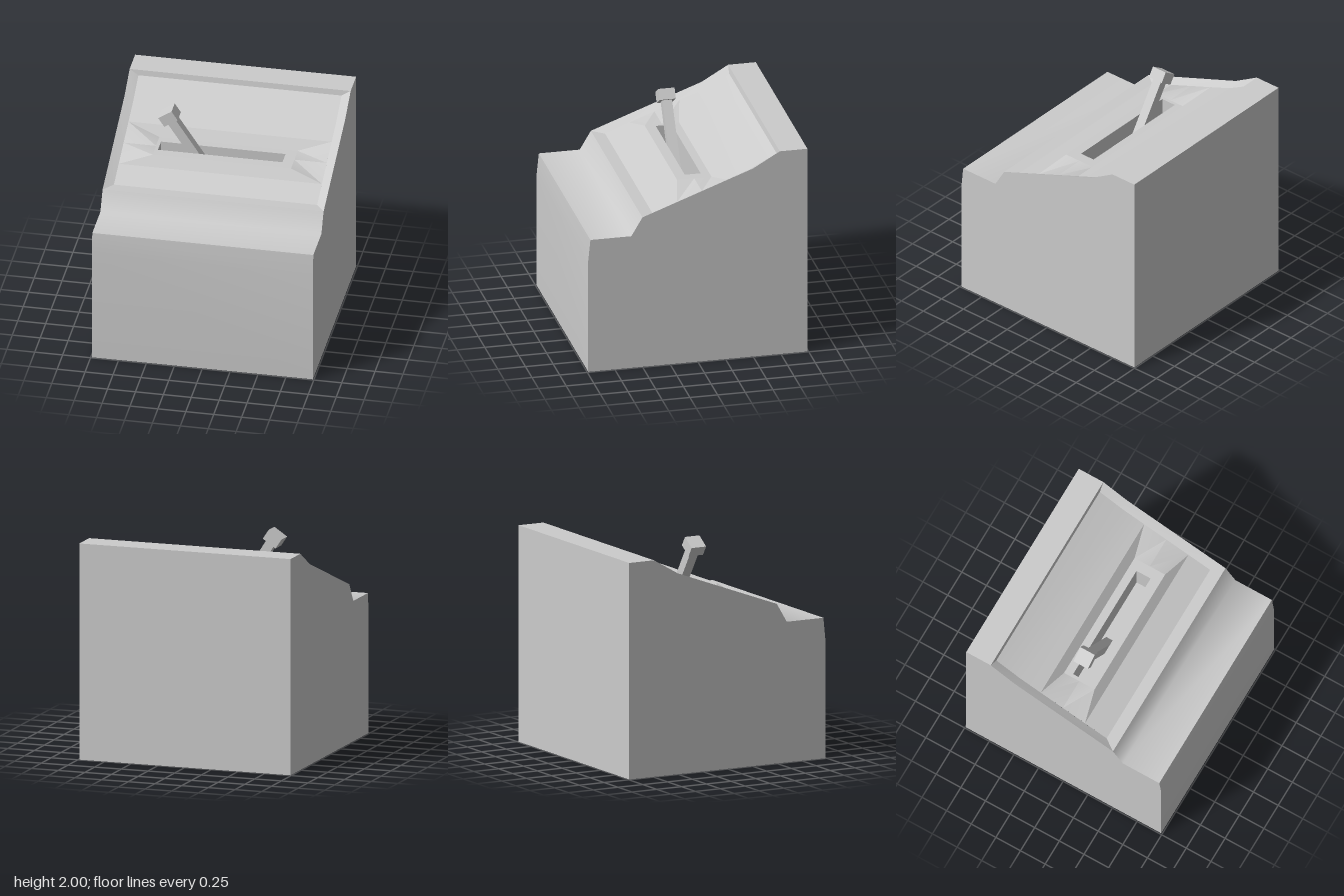
import * as THREE from 'three';
import { toCreasedNormals } from 'three/addons/utils/BufferGeometryUtils.js';

const material = new THREE.MeshStandardMaterial({ color: 0xcccccc, side: THREE.DoubleSide });

// Points along one side, given as [z, y], placed at a fixed x
const at = (x, pts) => pts.map(([z, y]) => new THREE.Vector3(x, y, z));

// Closed loop: down the right side, back up the left side
const ring = (x0, x1, pts) => [...at(x0, pts), ...at(x1, pts).reverse()];

// Surface between two rows of points
function loft(a, b, closed, crease) {
  const pts = [];
  const n = a.length;
  for (let i = 0; i < (closed ? n : n - 1); i++) {
    const j = (i + 1) % n;
    pts.push(a[i], a[j], b[j], a[i], b[j], b[i]);
  }
  const geometry = new THREE.BufferGeometry().setFromPoints(pts);
  geometry.computeVertexNormals();
  return toCreasedNormals(geometry, crease);
}

export function createModel() {
  const model = new THREE.Group();
  model.name = 'leverConsole';
  const add = (name, geometry, parent = model) => {
    const mesh = new THREE.Mesh(geometry, material);
    mesh.name = name;
    parent.add(mesh);
    return mesh;
  };

  const W = 0.99;   // half width of the cabinet
  const PW = 0.91;  // half width of the sunken panel
  const backLine = [[-0.99, 0], [-0.99, 1.94], [-0.74, 1.94]];
  const slope = [[-0.74, 1.94], [-0.5, 1.8], [0.5, 1.43]];
  const frontLine = [[0.5, 1.43], [0.6, 1.26], [0.97, 1.26], [0.99, 1.06], [0.99, 0]];

  // Cabinet shell, open underneath
  add('backAndTopLedge', loft(at(-W, backLine), at(W, backLine), false, 1.1));
  add('frontAndStep', loft(at(-W, frontLine), at(W, frontLine), false, 1.1));
  const outline = [...backLine, ...slope.slice(1), ...frontLine.slice(1)];
  for (const s of [1, -1]) {
    const shape = new THREE.Shape(outline.map(([z, y]) => new THREE.Vector2(-s * z, y)));
    const side = new THREE.ShapeGeometry(shape);
    side.rotateY(s * Math.PI / 2).translate(s * W, 0, 0);
    add(s > 0 ? 'leftSide' : 'rightSide', side);
  }

  // Bevelled rim down to the sunken sloping panel
  const sunk = [[-0.73, 1.89], [-0.49, 1.76], [0.39, 1.425]];
  add('panelRim', loft(ring(-W, W, slope), ring(-PW, PW, sunk), true, 0.35));
  const upper = [...sunk.slice(0, 2), [-0.28, 1.68]];
  const lower = [[0.17, 1.51], sunk[2]];
  add('upperPanel', loft(at(-PW, upper), at(PW, upper), false, 0.35));
  add('lowerPanel', loft(at(-PW, lower), at(PW, lower), false, 0.35));

  // Level lever plate, blended into the slope by a skirt
  const P = 1.595;
  const skirtOuter = [[-0.28, 1.68], [-0.055, P], [0.17, 1.51]];
  const skirtInner = [[-0.21, P], [-0.055, P], [0.1, P]];
  add('plateSkirt', loft(ring(-PW, PW, skirtOuter), ring(-0.62, 0.62, skirtInner), true, 0.3));

  const rect = (C, x0, x1, z0, z1) => new C([[x0, -z1], [x1, -z1], [x1, -z0], [x0, -z0]]
    .map(([x, y]) => new THREE.Vector2(x, y)));
  const [sx0, sx1, sz0, sz1, floorY] = [-0.59, 0.525, -0.135, 0.008, 1.3];
  const plate = rect(THREE.Shape, -0.62, 0.62, -0.21, 0.1);
  plate.holes.push(rect(THREE.Path, sx0, sx1, sz0, sz1));
  add('leverPlate', new THREE.ShapeGeometry(plate).rotateX(-Math.PI / 2).translate(0, P, 0));

  // Deep slot
  add('slotWalls', loft(
    ring(sx0, sx1, [[sz0, P], [sz1, P]]),
    ring(sx0, sx1, [[sz0, floorY], [sz1, floorY]]), true, 0.3));
  const slotFloor = new THREE.ShapeGeometry(rect(THREE.Shape, sx0, sx1, sz0, sz1));
  add('slotFloor', slotFloor.rotateX(-Math.PI / 2).translate(0, floorY, 0));

  // Tilted lever with its block handle
  const lever = new THREE.Group();
  lever.name = 'lever';
  lever.position.set(-0.5, 1.92, -0.06);
  lever.rotation.z = 0.585;
  add('leverHandle', new THREE.BoxGeometry(0.144, 0.1, 0.146), lever);
  add('leverShaft', new THREE.BoxGeometry(0.085, 0.68, 0.086).translate(0, -0.39, 0), lever);
  model.add(lever);

  return model;
}
